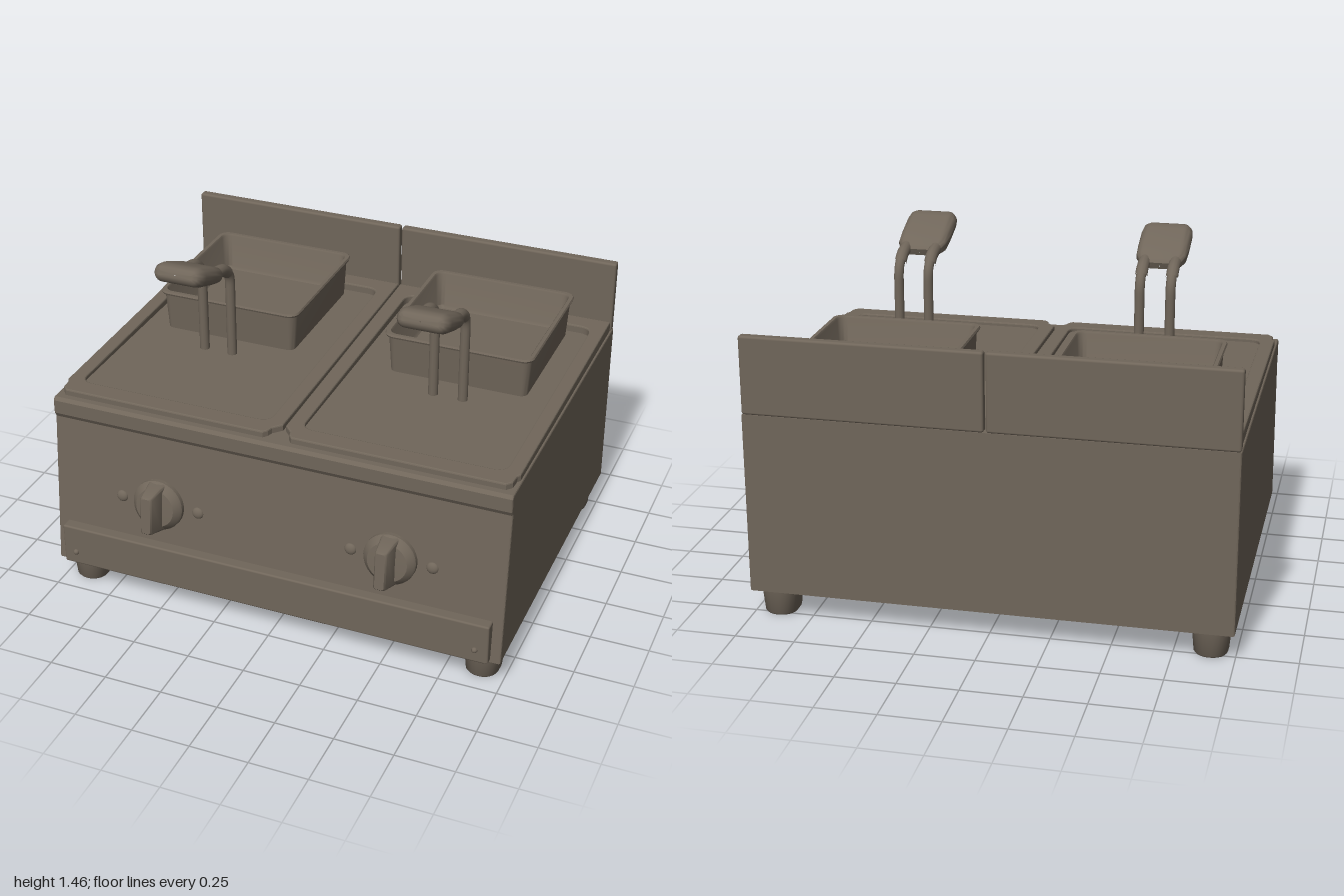
import * as THREE from 'three';
import { toCreasedNormals } from 'three/addons/utils/BufferGeometryUtils.js';
import { RoundedBoxGeometry } from 'three/addons/geometries/RoundedBoxGeometry.js';

const steel = new THREE.MeshStandardMaterial({ color: 0x70665a });
steel.name = 'warm grey steel';

function add(parent, name, geo, x = 0, y = 0, z = 0) {
  const m = new THREE.Mesh(geo, steel);
  m.name = name;
  m.position.set(x, y, z);
  parent.add(m);
  return m;
}

const box = (w, h, d, r) => new RoundedBoxGeometry(w, h, d, 2, r);

// Skin through rounded rectangles [halfWidth, halfDepth, cornerRadius, y]
function loft(sections, crease = 0.7) {
  const seg = 6, n = 4 * (seg + 1), pos = [], idx = [];
  for (const [hw, hd, r, y] of sections)
    for (let c = 0; c < 4; c++)
      for (let k = 0; k <= seg; k++) {
        const a = (c + k / seg) * Math.PI / 2;
        const sx = c === 0 || c === 3 ? 1 : -1, sz = c < 2 ? 1 : -1;
        pos.push(sx * (hw - r) + r * Math.cos(a), y, -(sz * (hd - r) + r * Math.sin(a)));
      }
  for (let j = 0; j < sections.length - 1; j++)
    for (let i = 0; i < n; i++) {
      const a = j * n + i, b = j * n + (i + 1) % n;
      idx.push(a, b, b + n, a, b + n, a + n);
    }
  const g = new THREE.BufferGeometry();
  g.setAttribute('position', new THREE.Float32BufferAttribute(pos, 3));
  g.setIndex(idx);
  return toCreasedNormals(g, crease);
}
const tip = y => [0.002, 0.002, 0.001, y];

function roundedPath(path, x0, y0, x1, y1, r) {
  path.moveTo(x0 + r, y0);
  path.lineTo(x1 - r, y0); path.quadraticCurveTo(x1, y0, x1, y0 + r);
  path.lineTo(x1, y1 - r); path.quadraticCurveTo(x1, y1, x1 - r, y1);
  path.lineTo(x0 + r, y1); path.quadraticCurveTo(x0, y1, x0, y1 - r);
  path.lineTo(x0, y0 + r); path.quadraticCurveTo(x0, y0, x0 + r, y0);
  return path;
}

// Housing: side profile with a sloping front, drawn as (z, y)
function housing() {
  const s = new THREE.Shape([[-0.805, 0.125], [0.706, 0.125], [0.645, 0.795], [0.656, 0.815],
    [0.656, 0.87], [0.648, 0.88], [-0.805, 0.88]].map(p => new THREE.Vector2(...p)));
  const g = new THREE.ExtrudeGeometry(s, { depth: 1.984, bevelSize: 0.007, bevelThickness: 0.007, bevelSegments: 2 });
  return g.translate(0, 0, -0.992).rotateY(-Math.PI / 2);
}

// Raised worktop rim with notched front corners, rising slightly to the back
function trayRim(s) {
  const outer = [[0.01, 0.765], [0.985, 0.765], [0.985, -0.54], [0.975, -0.555], [0.972, -0.6], [0.955, -0.62],
    [0.065, -0.62], [0.052, -0.605], [0.045, -0.58], [0.012, -0.545]];
  const shape = new THREE.Shape(outer.map(([x, y]) => new THREE.Vector2(x * s, y)));
  const [x0, x1] = s > 0 ? [0.065, 0.935] : [-0.935, -0.065];
  shape.holes.push(roundedPath(new THREE.Path(), x0, -0.545, x1, 0.69, 0.06));
  const g = new THREE.ExtrudeGeometry(shape, { depth: 0.022, bevelSize: 0.006, bevelThickness: 0.006, bevelSegments: 2 });
  g.rotateX(-Math.PI / 2).translate(0, 0.886, 0);
  const p = g.attributes.position;
  for (let i = 0; i < p.count; i++)
    if (p.getY(i) > 0.9) p.setY(i, p.getY(i) + (0.63 - p.getZ(i)) * 0.0145);
  g.computeVertexNormals();
  return g;
}

// Open basket with rolled rim
function basket(parent, x) {
  add(parent, 'basket', loft([
    tip(0.9), [0.302, 0.306, 0.03, 0.9], [0.313, 0.317, 0.04, 1.065], [0.323, 0.328, 0.045, 1.069],
    [0.326, 0.331, 0.045, 1.077], [0.322, 0.327, 0.045, 1.085], [0.307, 0.312, 0.04, 1.085],
    [0.302, 0.307, 0.035, 1.077], [0.293, 0.297, 0.03, 0.93], [0.283, 0.287, 0.03, 0.917], tip(0.917)]), x, 0, -0.36);
}

// Two bent rods joined by a flat grip
function handle(parent, x) {
  const h = new THREE.Group();
  h.name = 'basketHandle';
  h.position.x = x;
  for (const s of [-1, 1]) {
    const v = (y, z) => new THREE.Vector3(s * 0.065, y, z);
    const rod = new THREE.CurvePath();
    rod.add(new THREE.LineCurve3(v(0.89, 0.058), v(1.23, 0.058)));
    rod.add(new THREE.CubicBezierCurve3(v(1.23, 0.058), v(1.29, 0.058), v(1.31, 0.08), v(1.33, 0.14)));
    add(h, 'handleRod', new THREE.TubeGeometry(rod, 32, 0.021, 12));
    const sleeve = new THREE.CatmullRomCurve3([v(1.3, 0.085), v(1.328, 0.125), v(1.345, 0.2)]);
    add(h, 'handleSleeve', new THREE.TubeGeometry(sleeve, 10, 0.026, 12));
  }
  const grip = add(h, 'handleGrip', loft([
    tip(0), [0.075, 0.015, 0.014, 0], [0.09, 0.024, 0.023, 0.02], [0.107, 0.033, 0.032, 0.055],
    [0.11, 0.038, 0.036, 0.12], [0.11, 0.042, 0.04, 0.22], [0.106, 0.038, 0.037, 0.255],
    [0.093, 0.026, 0.025, 0.277], [0.075, 0.012, 0.011, 0.284], tip(0.285)], 1), 0, 1.328, 0.163);
  grip.rotation.x = 1.2;
  parent.add(h);
}

// Round dial with a tapered finger bar, and a lamp on each side
function control(parent, x) {
  const c = new THREE.Group();
  c.name = 'control';
  c.position.set(x, 0.49, 0.677);
  c.rotation.x = -0.095;
  const dial = [[0.112, -0.02], [0.112, 0.022], [0.106, 0.032], [0.085, 0.052], [0.001, 0.056]];
  const lathe = new THREE.LatheGeometry(dial.map(p => new THREE.Vector2(...p)), 32);
  add(c, 'dial', toCreasedNormals(lathe, 0.5).rotateX(Math.PI / 2));
  add(c, 'dialBar', loft([[0.042, 0.108, 0.012, 0.01], [0.034, 0.1, 0.012, 0.06],
    [0.026, 0.086, 0.012, 0.125], [0.02, 0.08, 0.01, 0.133], tip(0.133)]).rotateX(Math.PI / 2));
  for (const s of [-1, 1])
    add(c, 'lamp', new THREE.SphereGeometry(0.026, 20, 8, 0, Math.PI * 2, 0, Math.PI / 2)
      .scale(1, 0.6, 1).rotateX(Math.PI / 2), s * 0.175, -0.005, 0);
  parent.add(c);
}

export function createModel() {
  const model = new THREE.Group();
  model.name = 'doubleFryer';
  add(model, 'housing', housing());

  // One worktop, splashback, basket and control per side
  for (const s of [-1, 1]) {
    add(model, 'trayRim', trayRim(s));
    add(model, 'trayFloor', new THREE.BoxGeometry(0.89, 0.012, 1.25), s * 0.5, 0.893, -0.07);
    add(model, 'splashback', box(0.992, 0.328, 0.042, 0.01), s * 0.501, 1.05, -0.792);
    basket(model, s * 0.524);
    handle(model, s * 0.524);
    control(model, s * 0.515);
    add(model, 'screw', new THREE.SphereGeometry(0.013, 14, 10), s * 0.898, 0.185, 0.744);

    // Tapered oval feet
    for (const z of [0.597, -0.7]) {
      const foot = add(model, 'foot', loft([tip(0), [0.064, 0.076, 0.06, 0],
        [0.069, 0.081, 0.062, 0.008], [0.08, 0.093, 0.07, 0.13]]), s * 0.897, 0, z);
      foot.name = z > 0 ? 'frontFoot' : 'backFoot';
    }
  }

  // Lower front strip
  add(model, 'frontStrip', box(1.91, 0.183, 0.055, 0.008), 0, 0.217, 0.717);
  return model;
}
